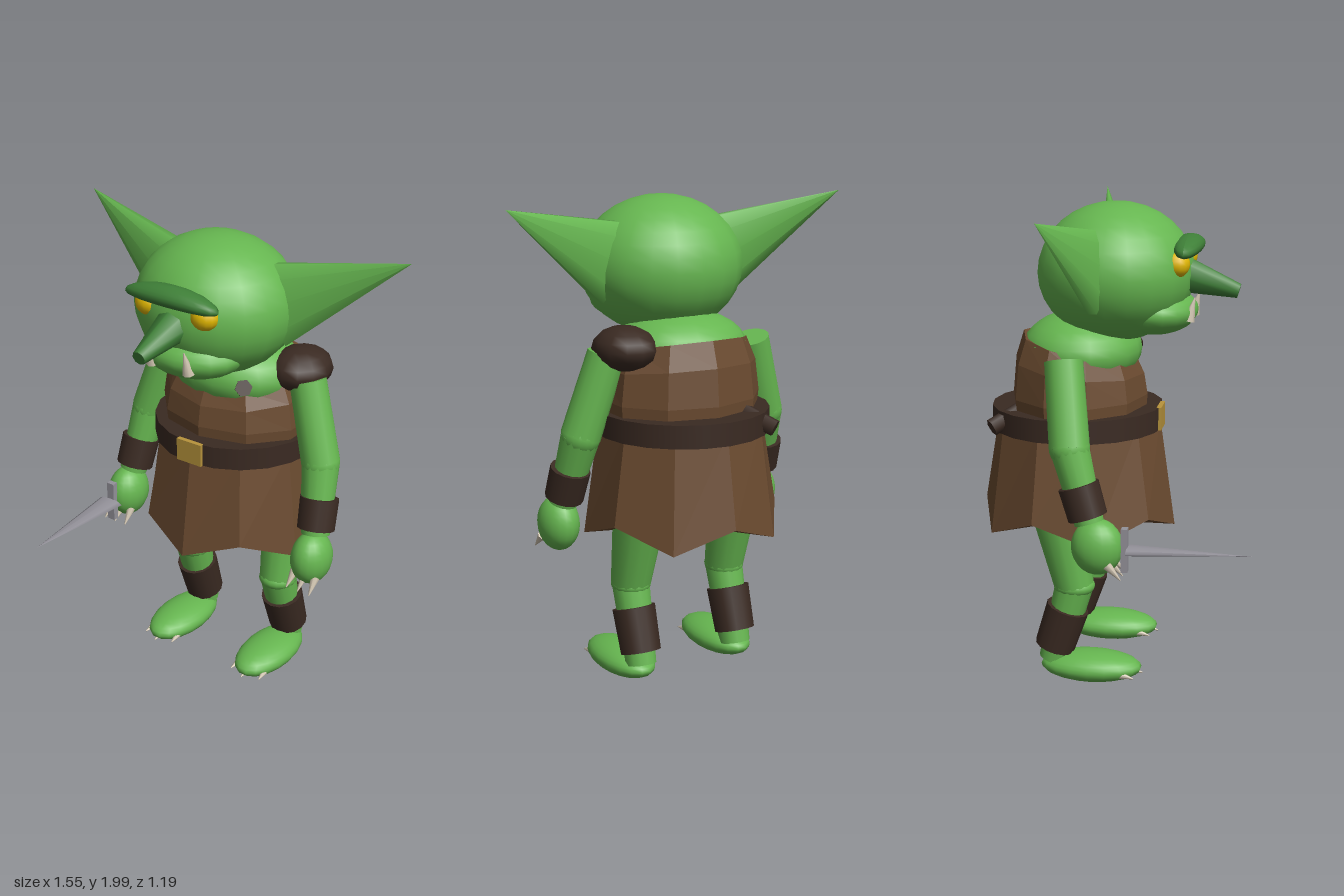
import * as THREE from 'three';

const V = (x, y, z) => new THREE.Vector3(x, y, z);
const mat = (name, color, extra = {}) => {
  const m = new THREE.MeshStandardMaterial({ color, ...extra });
  m.name = name;
  return m;
};

export function createModel() {
  const skin = mat('green skin', 0x66b650);
  const darkSkin = mat('dark green skin', 0x3f8038);
  const leather = mat('brown leather', 0x6b4b30, { flatShading: true });
  const darkLeather = mat('dark leather', 0x3a2a22);
  const gold = mat('gold', 0xb8943c);
  const yellow = mat('yellow eye', 0xe2b800);
  const bone = mat('bone', 0xd0c4b0);
  const steel = mat('steel', 0x94929a);

  const model = new THREE.Group();
  model.name = 'goblin';
  const add = (parent, name, geo, material) => {
    const m = new THREE.Mesh(geo, material);
    m.name = name;
    parent.add(m);
    return m;
  };
  const part = (name) => {
    const g = new THREE.Group();
    g.name = name;
    model.add(g);
    return g;
  };
  // Ellipsoid with centre c and radii r
  const blob = (parent, name, c, r, material, w = 18, h = 14) => {
    const m = add(parent, name, new THREE.SphereGeometry(1, w, h), material);
    m.scale.set(...r);
    m.position.set(...c);
    return m;
  };
  // Tapered cylinder from a (radius ra) to b (radius rb)
  const limb = (parent, name, a, b, ra, rb, material, sides = 14) => {
    const dir = b.clone().sub(a);
    const m = add(parent, name, new THREE.CylinderGeometry(rb, ra, dir.length(), sides), material);
    m.position.copy(a).lerp(b, 0.5);
    m.quaternion.setFromUnitVectors(V(0, 1, 0), dir.normalize());
    return m;
  };

  // Head
  const head = part('head');
  blob(head, 'skull', [0, 1.715, -0.03], [0.34, 0.285, 0.325], skin, 20, 16);
  blob(head, 'muzzle', [0, 1.56, 0.13], [0.225, 0.1, 0.18], skin);
  const brow = blob(head, 'brow', [0, 1.825, 0.27], [0.225, 0.042, 0.062], darkSkin, 16, 10);
  const bp = brow.geometry.attributes.position;
  for (let i = 0; i < bp.count; i++) bp.setY(i, bp.getY(i) - 0.45 * bp.getX(i) ** 2 + 0.1);
  brow.geometry.computeVertexNormals();
  limb(head, 'nose', V(0, 1.72, 0.2), V(0, 1.643, 0.476), 0.085, 0.03, darkSkin, 8);

  for (const s of [1, -1]) {
    blob(head, 'eye', [s * 0.135, 1.765, 0.235], [0.06, 0.055, 0.055], yellow, 14, 10);
    limb(head, 'tusk', V(s * 0.09, 1.53, 0.28), V(s * 0.085, 1.625, 0.305), 0.026, 0.002, bone, 8);

    // Flattened cone ear, broad side facing forward
    const base = V(s * 0.24, 1.74, -0.075), tip = V(s * 0.777, 1.99, -0.2);
    const axis = tip.clone().sub(base);
    const ear = add(head, 'ear', new THREE.ConeGeometry(1, axis.length(), 10), skin);
    const y = axis.normalize();
    const z = V(0, 0, 1).addScaledVector(y, -y.z).normalize();
    ear.quaternion.setFromRotationMatrix(new THREE.Matrix4().makeBasis(y.clone().cross(z), y, z));
    ear.scale.set(0.18, 1, 0.062);
    ear.position.copy(base).lerp(tip, 0.5);
  }

  // Torso and clothes
  const body = part('body');
  blob(body, 'neck', [0, 1.39, -0.175], [0.29, 0.16, 0.25], skin);
  const profile = [[0.33, 1.05], [0.345, 1.2], [0.328, 1.32], [0.287, 1.41], [0.2, 1.4]];
  const bodice = new THREE.LatheGeometry(profile.map(([r, y]) => new THREE.Vector2(r, y)), 10);
  bodice.scale(1, 1, 0.83);
  // Collar rises toward the back
  const tp = bodice.attributes.position;
  for (let i = 0; i < tp.count; i++) {
    const lift = Math.max(0, (tp.getY(i) - 1.2) / 0.21);
    tp.setY(i, tp.getY(i) - 0.2 * lift * tp.getZ(i));
  }
  bodice.translate(0, 0, -0.185);
  add(body, 'bodice', bodice, leather);

  // Flared skirt with a zigzag hem
  const skirt = new THREE.CylinderGeometry(0.345, 0.41, 0.47, 10);
  const sp = skirt.attributes.position;
  for (let i = 0; i < sp.count; i++) {
    const x = sp.getX(i), z = sp.getZ(i);
    if (sp.getY(i) > 0 || Math.hypot(x, z) < 0.1) continue;
    const corner = Math.round(Math.atan2(x, z) / (Math.PI / 5));
    if (Math.abs(corner) % 2) sp.setY(i, sp.getY(i) + 0.09);
  }
  add(body, 'skirt', skirt, leather).position.set(0, 0.87, -0.19);

  add(body, 'belt', new THREE.CylinderGeometry(0.36, 0.36, 0.095, 20), darkLeather).position.set(0, 1.108, -0.195);
  add(body, 'buckle', new THREE.BoxGeometry(0.122, 0.097, 0.02), gold).position.set(0, 1.108, 0.158);
  limb(body, 'strap', V(0.18, 1.4, 0.035), V(-0.245, 1.09, -0.51), 0.036, 0.036, darkLeather, 6);
  blob(body, 'shoulderPad', [0.285, 1.425, -0.225], [0.128, 0.09, 0.148], darkLeather, 12, 8);

  for (const s of [1, -1]) {
    const side = s > 0 ? 'left' : 'right';

    // Arm
    const arm = part(side + 'Arm');
    const shoulder = V(s * 0.345, 1.4, -0.185), elbow = V(s * 0.445, 1.07, -0.145);
    const wrist = V(s * 0.485, 0.78, -0.06);
    limb(arm, 'upperArm', shoulder, elbow, 0.078, 0.082, skin);
    blob(arm, 'elbow', elbow.toArray(), [0.08, 0.08, 0.082], skin);
    limb(arm, 'forearm', elbow, wrist, 0.08, 0.06, skin);
    limb(arm, 'wristBand', V(s * 0.471, 0.93, -0.105), V(s * 0.482, 0.803, -0.066), 0.083, 0.08, darkLeather);
    blob(arm, 'hand', [s * 0.49, 0.685, -0.028], [0.083, 0.115, 0.105], skin);
    for (const k of [-1, 0, 1]) {
      const x = s * 0.49 + k * 0.05;
      limb(arm, 'fingerClaw', V(x, 0.625, 0.02), V(x + k * 0.006, 0.567, 0.075), 0.02, 0.002, bone, 8);
    }

    // Leg
    const leg = part(side + 'Leg');
    const hip = V(s * 0.228, 0.72, -0.235), knee = V(s * 0.232, 0.42, -0.172);
    limb(leg, 'thigh', hip, knee, 0.108, 0.083, skin);
    blob(leg, 'knee', knee.toArray(), [0.083, 0.05, 0.087], skin);
    limb(leg, 'shin', knee, V(s * 0.235, 0.09, -0.26), 0.08, 0.065, skin);
    limb(leg, 'shinGuard', V(s * 0.235, 0.322, -0.2), V(s * 0.235, 0.145, -0.258), 0.091, 0.085, darkLeather);
    blob(leg, 'foot', [s * 0.24, 0.07, -0.1], [0.112, 0.064, 0.215], skin);
    for (const k of [-1, 0, 1]) {
      const x = s * 0.24 + k * 0.066, z = k ? 0.05 : 0.08;
      limb(leg, 'toeClaw', V(x, 0.062, z - 0.03), V(x + k * 0.008, 0.048, z + 0.04), 0.02, 0.002, bone, 8);
    }
  }

  // Dagger held forward in the right hand
  const dagger = part('dagger');
  dagger.position.set(-0.493, 0.677, 0);
  limb(dagger, 'grip', V(0, 0, -0.12), V(0, 0, 0.09), 0.018, 0.018, steel, 8);
  add(dagger, 'guard', new THREE.BoxGeometry(0.036, 0.18, 0.026), steel).position.z = 0.083;
  const blade = new THREE.ConeGeometry(0.06, 0.497, 8);
  blade.rotateX(Math.PI / 2);
  blade.scale(1, 0.25, 1);
  add(dagger, 'blade', blade, steel).position.z = 0.342;

  return model;
}
